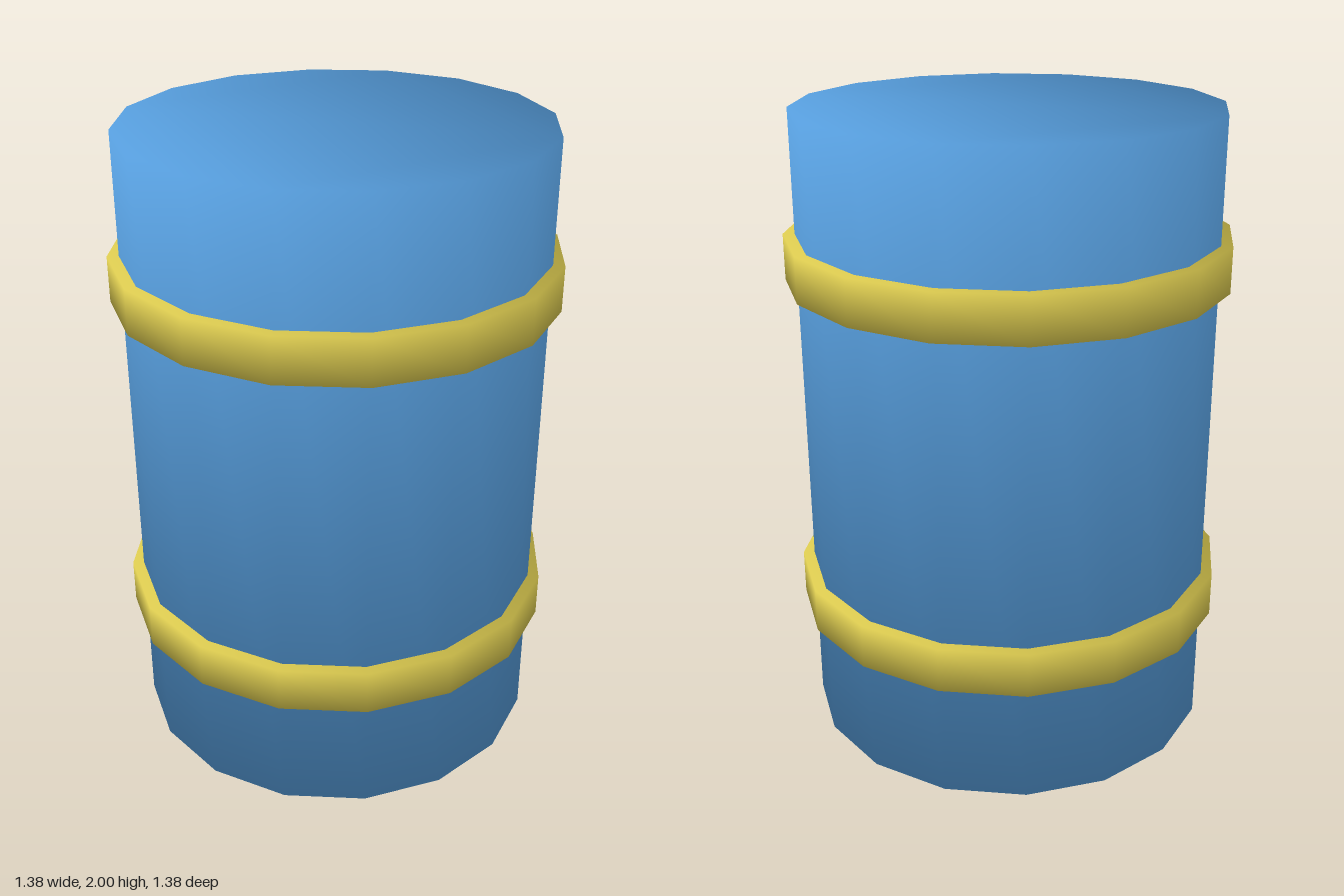
import * as THREE from 'three';

const SIDES = 16;

// Solid 16-sided drum whose normals blend smoothly from the wall over the rim into the caps
function softDrum(radius, height) {
  const points = [];
  for (let i = 0; i < SIDES; i++) {
    const a = (i / SIDES) * Math.PI * 2;
    points.push(new THREE.Vector2(Math.cos(a) * radius, Math.sin(a) * radius));
  }
  const geometry = new THREE.ExtrudeGeometry(new THREE.Shape(points), {
    depth: height, steps: 1, bevelEnabled: false, curveSegments: 1,
  });
  geometry.rotateX(-Math.PI / 2);
  geometry.translate(0, -height / 2, 0);

  const position = geometry.attributes.position;
  const normal = geometry.attributes.normal;
  const n = new THREE.Vector3();
  for (let i = 0; i < position.count; i++) {
    n.set(position.getX(i), Math.sign(position.getY(i)) * radius * 0.95, position.getZ(i)).normalize();
    normal.setXYZ(i, n.x, n.y, n.z);
  }
  return geometry;
}

export function createModel() {
  const blue = new THREE.MeshStandardMaterial({ color: 0x569ddc });
  blue.name = 'blue paint';
  const yellow = new THREE.MeshStandardMaterial({ color: 0xdac94f });
  yellow.name = 'yellow paint';

  const model = new THREE.Group();
  model.name = 'barrel';

  // Barrel body
  const body = new THREE.Mesh(softDrum(0.655, 2), blue);
  body.name = 'body';
  body.position.y = 1;
  model.add(body);

  // Two raised hoops around the body
  const hoopGeometry = softDrum(0.691, 0.143);
  for (const [name, y] of [['lowerHoop', 0.455], ['upperHoop', 1.548]]) {
    const hoop = new THREE.Mesh(hoopGeometry, yellow);
    hoop.name = name;
    hoop.position.y = y;
    model.add(hoop);
  }
  return model;
}
